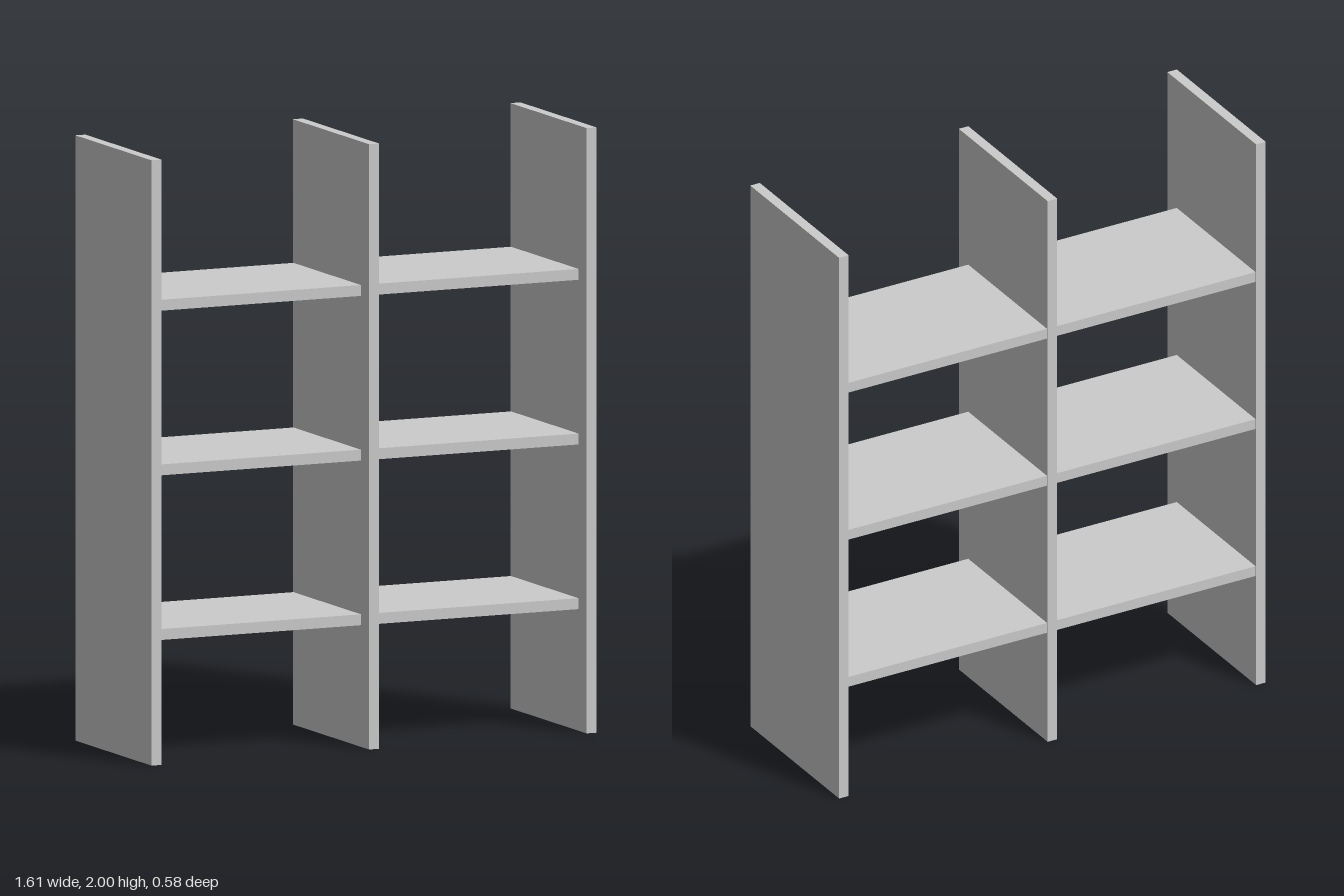
import * as THREE from 'three';

const THICK = 0.036;
const HEIGHT = 2;
const DEPTH = 0.58;
const SIDE_X = 0.786; // centre of the outer uprights

export function createModel() {
  const group = new THREE.Group();
  const material = new THREE.MeshStandardMaterial({ color: 0xcccccc, flatShading: true });

  const board = (name, size, position) => {
    const mesh = new THREE.Mesh(new THREE.BoxGeometry(...size), material);
    mesh.name = name;
    mesh.position.set(...position);
    group.add(mesh);
  };

  // Three full-height uprights
  const uprights = { rightUpright: -SIDE_X, middleUpright: 0, leftUpright: SIDE_X };
  for (const [name, x] of Object.entries(uprights)) {
    board(name, [THICK, HEIGHT, DEPTH], [x, HEIGHT / 2, 0]);
  }

  // Shelves between the uprights, set back from the front edge
  const back = -0.286, front = 0.228;
  const width = SIDE_X - THICK;
  ['lower', 'middle', 'upper'].forEach((level, i) => {
    const y = 0.42 + i * 0.544;
    for (const side of [-1, 1]) {
      board(`${level}${side < 0 ? 'Right' : 'Left'}Shelf`,
        [width, THICK, front - back],
        [side * SIDE_X / 2, y, (front + back) / 2]);
    }
  });

  return group;
}
